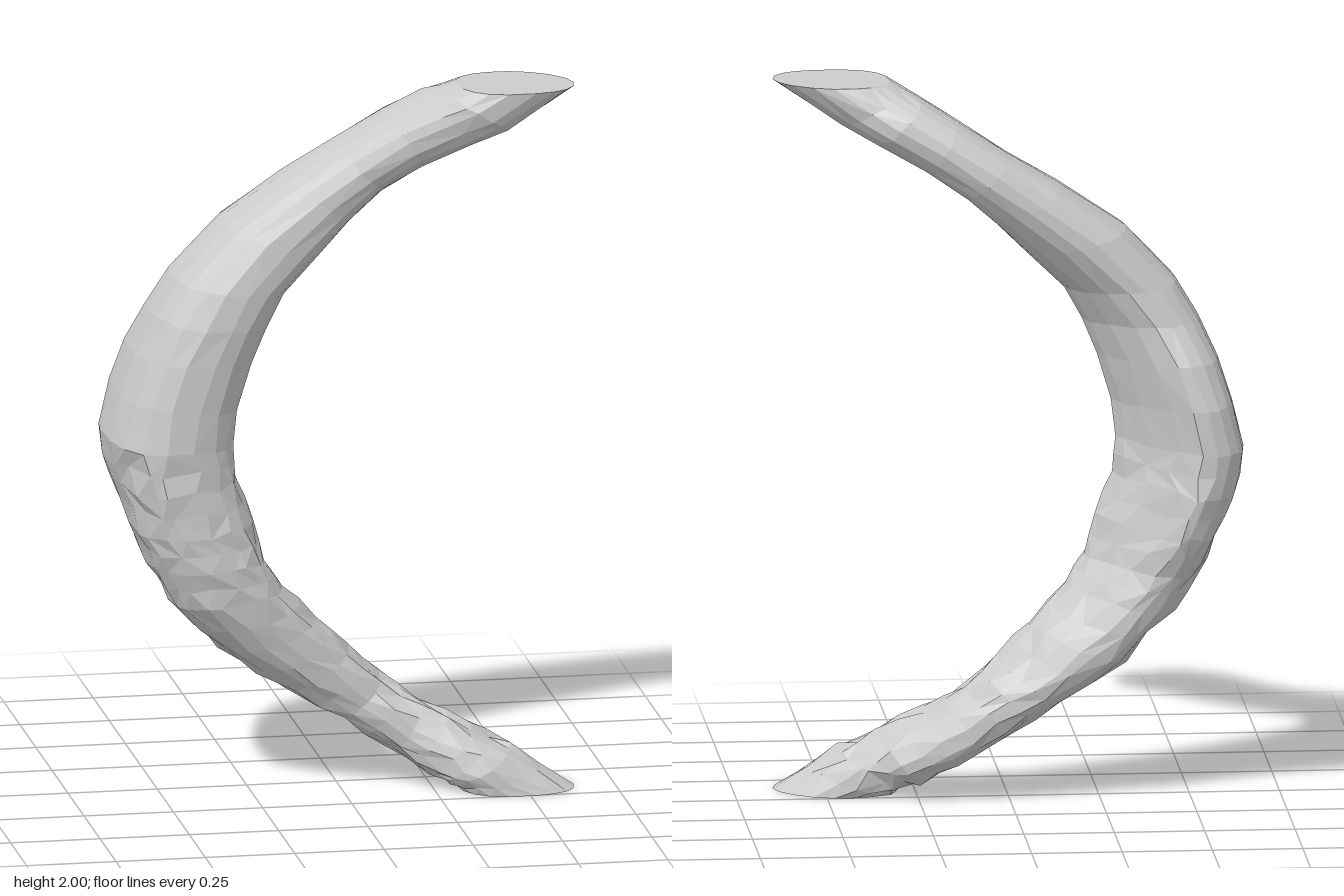
import * as THREE from 'three';

const SIDES = 18;

// Cross-sections from the middle to the tip of one arm:
// outer x, outer y, inner x, inner y, front z, back z, skew
const ARM = [
  [-0.64, 1.00, -0.30, 1.00, 0.20, -0.255, 1.0],
  [-0.61, 1.13, -0.29, 1.10, 0.20, -0.255, 1.0],
  [-0.57, 1.25, -0.25, 1.23, 0.20, -0.23, 0.95],
  [-0.52, 1.36, -0.21, 1.33, 0.20, -0.185, 0.8],
  [-0.46, 1.46, -0.16, 1.42, 0.19, -0.17, 0.6],
  [-0.32, 1.61, -0.06, 1.52, 0.165, -0.17, 0.45],
  [-0.14, 1.73, 0.03, 1.61, 0.14, -0.16, 0.35],
  [0.00, 1.81, 0.12, 1.69, 0.13, -0.15, 0.3],
  [0.14, 1.90, 0.23, 1.76, 0.16, -0.125, 0.3],
  [0.24, 1.96, 0.36, 1.83, 0.215, -0.09, 0.3],
  [0.29, 1.985, 0.46, 1.88, 0.25, -0.04, 0.35],
  [0.32, 2.00, 0.637, 2.00, 0.255, 0.00, 0.4],
];

function seeded(seed) {
  return () => (seed = (seed * 16807) % 2147483647) / 2147483647;
}

// Lopsided oval touching the four extremes of a section;
// skew flattens the side between the inner edge and the back
function ring([ox, oy, ix, iy, zf, zb, skew], rough, rand) {
  const points = [];
  for (let j = 0; j < SIDES; j++) {
    const a = ((j + (rand() - 0.5) * rough * 0.6) / SIDES) * Math.PI * 2;
    const c = Math.cos(a), s = Math.sin(a);
    const r = 1.01 - rand() * 0.035 * rough;
    const power = c > 0 && s < 0 ? 0.85 + 0.75 * skew : 0.82;
    const u0 = s > 0 ? 0.5 : 0.5 - 0.18 * skew;
    const w0 = c > 0 ? 0.5 + 0.18 * skew : 0.5 - 0.2 * skew;
    const u = u0 + (c > 0 ? 1 - u0 : -u0) * r * Math.abs(c) ** power;
    const w = w0 + (s > 0 ? 1 - w0 : -w0) * r * Math.abs(s) ** power;
    const slide = (rand() - 0.5) * 0.02 * rough;
    points.push(new THREE.Vector3(
      ox + (ix - ox) * u + slide * 0.4,
      THREE.MathUtils.clamp(oy + (iy - oy) * u + slide, 0, 2),
      zb + (zf - zb) * w));
  }
  return points;
}

function boneGeometry() {
  const rand = seeded(71);
  const rings = [];

  // Lower arm: mirrored, with finer and rougher facets
  for (let i = ARM.length - 1; i > 0; i--) {
    for (const t of [0, 0.5]) {
      const s = ARM[i].map((v, k) => v + (ARM[i - 1][k] - v) * t);
      s[1] = 2 - s[1];
      s[3] = 2 - s[3];
      rings.push(ring(s, rings.length ? 1 : 0, rand));
    }
  }
  // Upper arm: broad, calmer facets
  ARM.forEach((s, i) => rings.push(ring(s, i === ARM.length - 1 ? 0 : 0.35, rand)));

  const pos = [];
  const tri = (...corners) => corners.forEach((p) => pos.push(p.x, p.y, p.z));

  // Skin, with mixed diagonals
  for (let i = 0; i < rings.length - 1; i++) {
    for (let j = 0; j < SIDES; j++) {
      const k = (j + 1) % SIDES;
      const a = rings[i][j], b = rings[i][k], c = rings[i + 1][k], d = rings[i + 1][j];
      if (rand() < 0.5) { tri(a, c, b); tri(a, d, c); }
      else { tri(a, d, b); tri(b, d, c); }
    }
  }

  // Flat cut ends
  const centre = (r) => r.reduce((s, p) => s.add(p), new THREE.Vector3()).divideScalar(SIDES);
  const low = rings[0], high = rings[rings.length - 1];
  const lowMid = centre(low), highMid = centre(high);
  for (let j = 0; j < SIDES; j++) {
    const k = (j + 1) % SIDES;
    tri(lowMid, low[j], low[k]);
    tri(highMid, high[k], high[j]);
  }

  const geometry = new THREE.BufferGeometry();
  geometry.setAttribute('position', new THREE.Float32BufferAttribute(pos, 3));
  geometry.computeVertexNormals();
  return geometry;
}

export function createModel() {
  const group = new THREE.Group();
  group.name = 'curvedBone';
  const material = new THREE.MeshStandardMaterial({ color: 0xcccccc, flatShading: true });
  const bone = new THREE.Mesh(boneGeometry(), material);
  bone.name = 'curvedArch';
  group.add(bone);
  return group;
}
